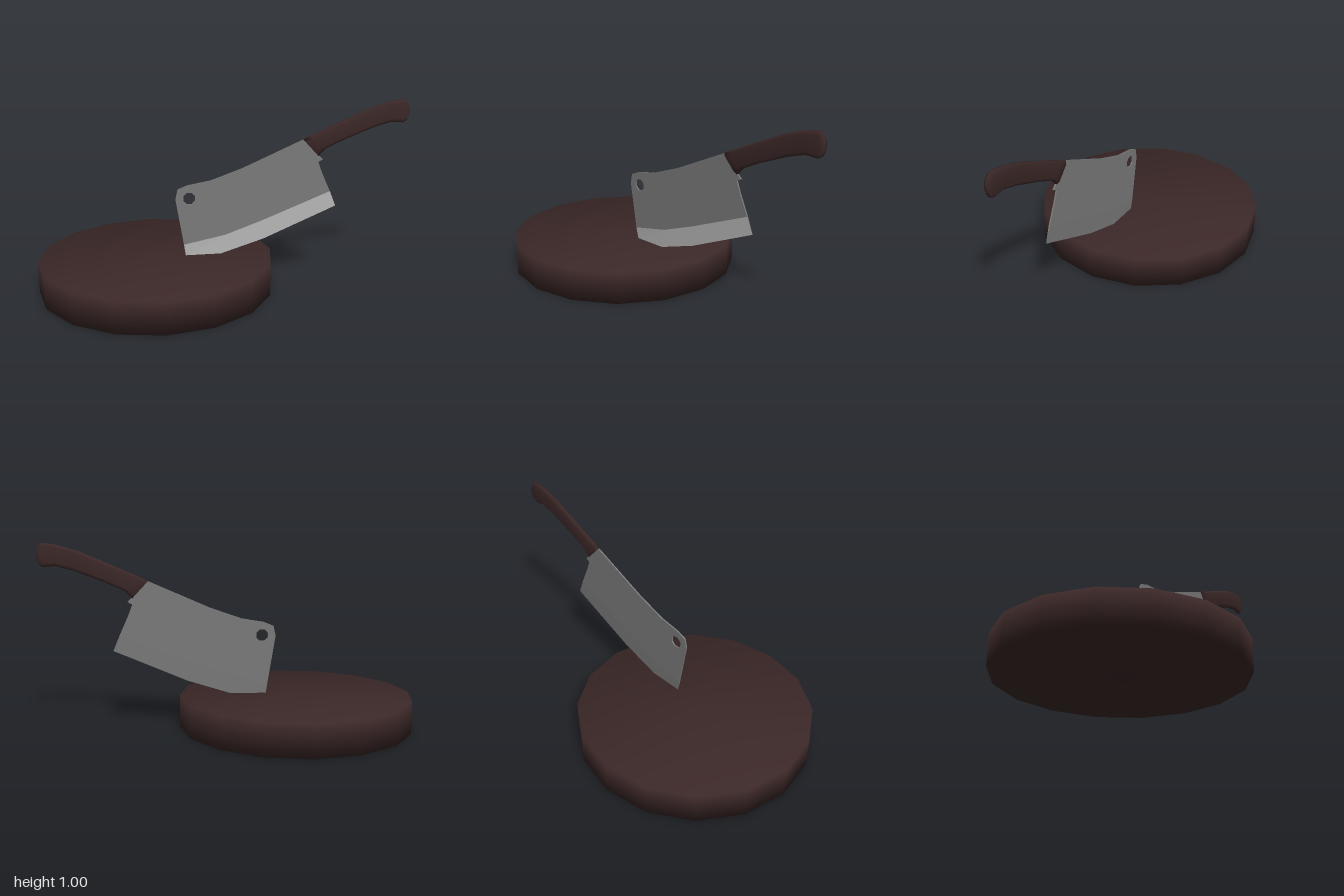
import * as THREE from 'three';
import { mergeVertices } from 'three/addons/utils/BufferGeometryUtils.js';

const wood = new THREE.MeshStandardMaterial({ name: 'darkWood', color: 0x3b2727 });
const steel = new THREE.MeshStandardMaterial({ name: 'steel', color: 0x7a7a7a });
const edgeSteel = new THREE.MeshStandardMaterial({ name: 'sharpenedSteel', color: 0xbababa });

const KNIFE_Z = 0.033;
const HALF = 0.004;

// Share vertices so that normals blend across every edge
function smooth(geometry) {
  geometry.deleteAttribute('uv');
  geometry.deleteAttribute('normal');
  const merged = mergeVertices(geometry, 1e-4);
  merged.computeVertexNormals();
  return merged;
}

function addMesh(parent, name, geometry, material) {
  const mesh = new THREE.Mesh(geometry, material);
  mesh.name = name;
  parent.add(mesh);
  return mesh;
}

// Geometry from quads given as four corner points, counter-clockwise
function quads(list) {
  const positions = [];
  for (const [a, b, c, d] of list) positions.push(...a, ...b, ...c, ...a, ...c, ...d);
  const geometry = new THREE.BufferGeometry();
  geometry.setAttribute('position', new THREE.Float32BufferAttribute(positions, 3));
  geometry.computeVertexNormals();
  return geometry;
}

// Upper line and cutting line of the sharpened strip
const bevelTop = [[-0.225, 0.235], [0, 0.28], [0.21, 0.355], [0.575, 0.5]];
const bevelEdge = [[-0.215, 0.17], [-0.03, 0.17], [0.21, 0.245], [0.61, 0.415]];

function bladeGeometry() {
  const outline = [
    ...bevelTop, [0.53, 0.6], [0.505, 0.665], [0.53, 0.68], [0.5, 0.71], [0.52, 0.76], [0.47, 0.79],
    [0.42, 0.79], [0.09, 0.645], [-0.08, 0.585], [-0.2, 0.565], [-0.255, 0.543], [-0.267, 0.49],
  ];
  const shape = new THREE.Shape(outline.map(([x, y]) => new THREE.Vector2(x, y)));
  // Hanging hole
  const hole = [];
  for (let i = 0; i < 8; i++) {
    const a = (i + 0.5) * Math.PI / 4;
    hole.push(new THREE.Vector2(-0.193 + 0.034 * Math.cos(a), 0.492 + 0.034 * Math.sin(a)));
  }
  shape.holes.push(new THREE.Path(hole));
  const geometry = new THREE.ExtrudeGeometry(shape, { depth: HALF * 2, bevelEnabled: false });
  geometry.translate(0, 0, -HALF);
  return geometry;
}

// Octagonal handle lofted along pairs of upper and lower points
function handleGeometry() {
  const stations = [
    // top x, top y, bottom x, bottom y, half width
    [0.42, 0.79, 0.505, 0.698, 0.013],
    [0.46, 0.81, 0.54, 0.737, 0.016],
    [0.6, 0.872, 0.65, 0.787, 0.017],
    [0.78, 0.95, 0.81, 0.848, 0.017],
    [0.89, 0.983, 0.9, 0.873, 0.017],
    [0.97, 0.995, 0.965, 0.868, 0.017],
    [0.993, 0.968, 0.987, 0.88, 0.014],
    [1.0, 0.945, 0.998, 0.91, 0.01],
  ];
  const section = [
    [1, 0.3], [0.7, 1], [-0.7, 1], [-1, 0.3], [-1, -0.3], [-0.7, -1], [0.7, -1], [1, -0.3],
  ];
  const n = section.length;
  const positions = [];
  const index = [];
  for (const [tx, ty, bx, by, w] of stations) {
    for (const [u, s] of section) {
      const t = (u + 1) / 2;
      positions.push(bx + (tx - bx) * t, by + (ty - by) * t, s * w);
    }
  }
  for (let i = 0; i < stations.length - 1; i++) {
    for (let j = 0; j < n; j++) {
      const a = i * n + j;
      const b = i * n + (j + 1) % n;
      index.push(a, b, b + n, a, b + n, a + n);
    }
  }
  // End caps
  const last = (stations.length - 1) * n;
  for (let j = 1; j < n - 1; j++) {
    index.push(0, j + 1, j, last, last + j, last + j + 1);
  }
  const geometry = new THREE.BufferGeometry();
  geometry.setAttribute('position', new THREE.Float32BufferAttribute(positions, 3));
  geometry.setIndex(index);
  geometry.computeVertexNormals();
  return geometry;
}

export function createModel() {
  const model = new THREE.Group();
  model.name = 'cleaverAndBoard';

  // Round chopping board
  const board = smooth(new THREE.CylinderGeometry(0.628, 0.628, 0.172, 16));
  addMesh(model, 'choppingBoard', board, wood).position.set(-0.372, 0.086, 0);

  const cleaver = new THREE.Group();
  cleaver.name = 'cleaver';
  cleaver.position.z = KNIFE_Z;
  model.add(cleaver);

  addMesh(cleaver, 'blade', bladeGeometry(), steel);

  // Sharpened strip: bright front, plain back and ends
  const front = bevelTop.map(([x, y]) => [x, y, HALF]);
  const back = bevelTop.map(([x, y]) => [x, y, -HALF]);
  const tip = bevelEdge.map(([x, y]) => [x, y, -0.001]);
  const frontQuads = [];
  const backQuads = [];
  for (let i = 0; i < tip.length - 1; i++) {
    frontQuads.push([tip[i], tip[i + 1], front[i + 1], front[i]]);
    backQuads.push([tip[i + 1], tip[i], back[i], back[i + 1]]);
  }
  backQuads.push([tip[0], front[0], back[0], tip[0]], [tip[3], back[3], front[3], tip[3]]);
  addMesh(cleaver, 'cuttingEdgeFront', quads(frontQuads), edgeSteel);
  addMesh(cleaver, 'cuttingEdgeBack', quads(backQuads), steel);

  addMesh(cleaver, 'handle', handleGeometry(), wood);
  return model;
}
